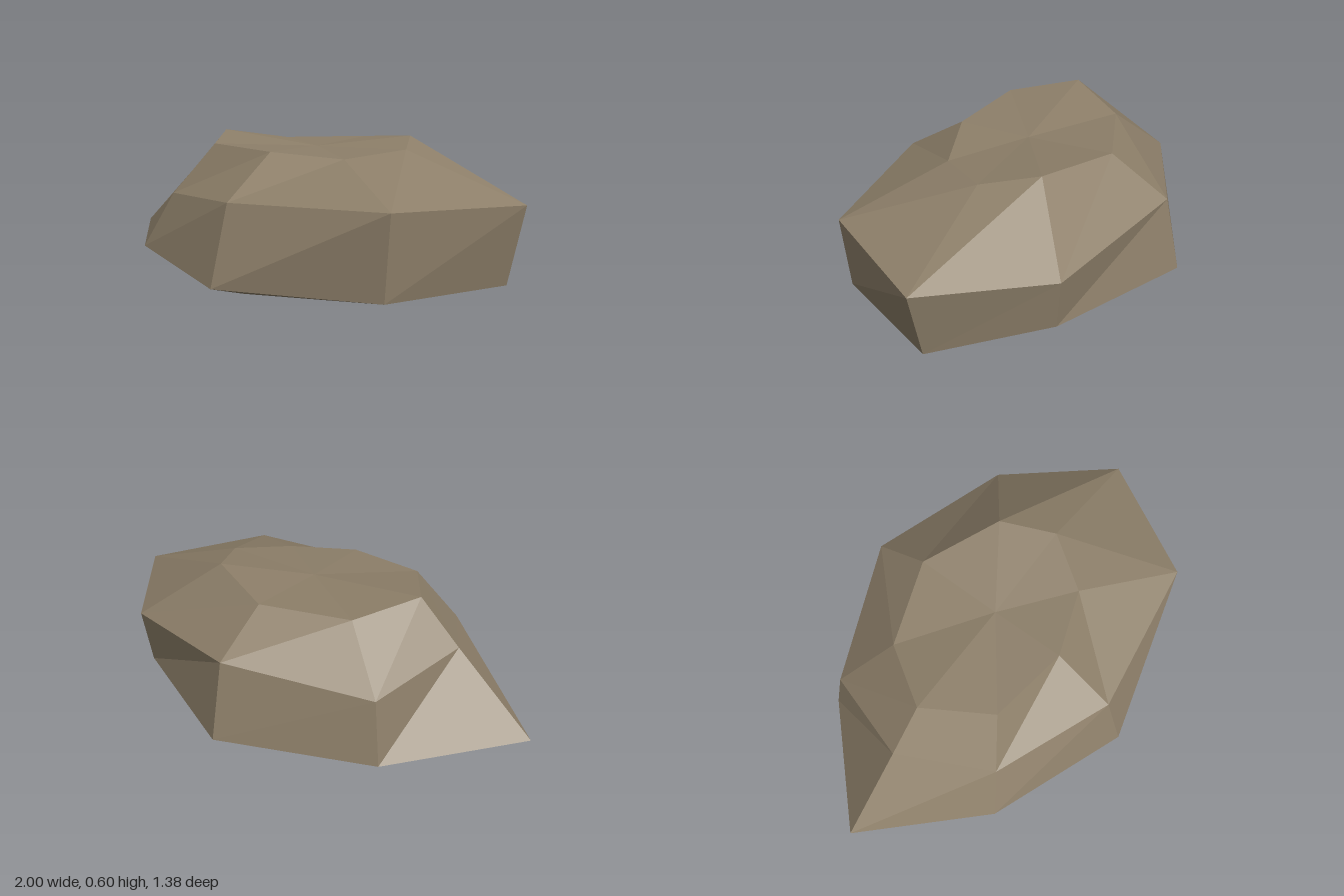
import * as THREE from 'three';

// Horizontal rings from the ground up; eight corners each, from +x round through +z.
const RINGS = [
  // base
  [[0.70, 0, 0], [0.50, 0, 0.31], [0.04, 0, 0.49], [-0.46, 0, 0.32],
    [-0.64, 0, 0], [-0.46, 0, -0.31], [0.04, 0, -0.37], [0.50, 0, -0.31]],
  // widest ring
  [[0.93, 0.07, 0], [0.69, 0.065, 0.49], [0.04, 0.06, 0.685], [-0.57, 0.11, 0.445],
    [-1, 0.12, 0], [-0.57, 0.07, -0.43], [0.04, 0.095, -0.69], [0.635, 0.13, -0.41]],
  // shoulder
  [[1, 0.385, 0], [0.715, 0.395, 0.495], [0.04, 0.378, 0.585], [-0.46, 0.345, 0.37],
    [-0.66, 0.425, 0], [-0.53, 0.335, -0.40], [0.04, 0.415, -0.62], [0.66, 0.36, -0.435]],
  // rim of the top
  [[0.48, 0.56, 0], [0.33, 0.53, 0.22], [0.04, 0.55, 0.32], [-0.31, 0.56, 0.265],
    [-0.48, 0.595, 0], [-0.32, 0.55, -0.25], [0.04, 0.565, -0.375], [0.37, 0.595, -0.22]],
];
const TOP_CENTRE = [0.04, 0.55, 0];
const BASE_CENTRE = [0.04, 0, 0];

function rockGeometry() {
  const positions = [];
  const triangle = (a, b, c) => positions.push(...a, ...b, ...c);
  const base = RINGS[0];
  const rim = RINGS[RINGS.length - 1];
  const sides = base.length;

  for (let i = 0; i < sides; i++) {
    const j = (i + 1) % sides;
    // side facets between neighbouring rings
    for (let r = 0; r < RINGS.length - 1; r++) {
      const low = RINGS[r];
      const high = RINGS[r + 1];
      triangle(low[j], low[i], high[i]);
      triangle(low[j], high[i], high[j]);
    }
    // top and base fans
    triangle(TOP_CENTRE, rim[j], rim[i]);
    triangle(BASE_CENTRE, base[i], base[j]);
  }

  const geometry = new THREE.BufferGeometry();
  geometry.setAttribute('position', new THREE.Float32BufferAttribute(positions, 3));
  geometry.computeVertexNormals();
  return geometry;
}

export function createModel() {
  const stone = new THREE.MeshStandardMaterial({ color: 0x8d7f69 });
  stone.name = 'stone';
  stone.flatShading = true;

  const rock = new THREE.Mesh(rockGeometry(), stone);
  rock.name = 'rock';

  const model = new THREE.Group();
  model.name = 'boulder';
  model.add(rock);
  return model;
}
